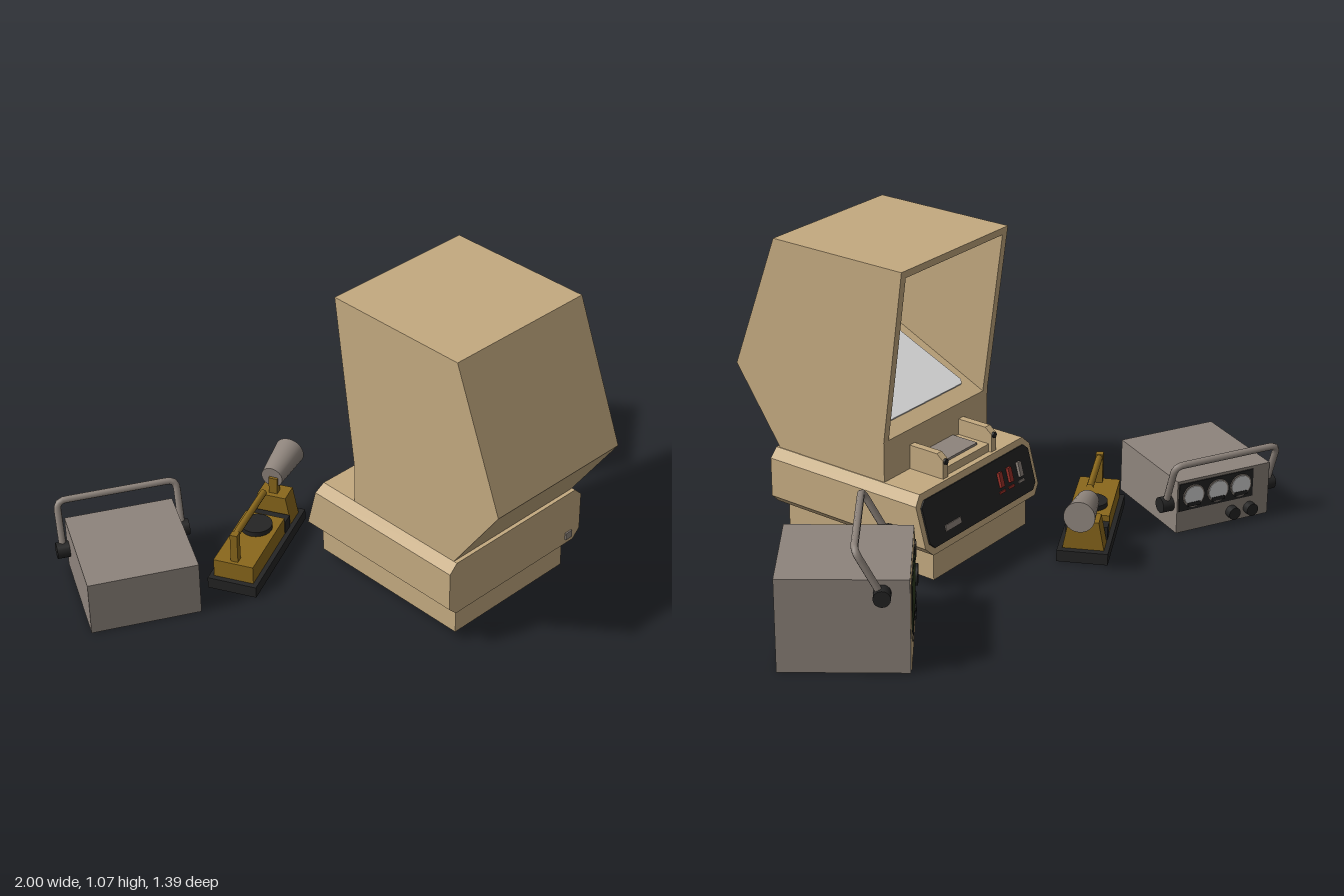
import * as THREE from 'three';

const mat = (name, color) => Object.assign(new THREE.MeshStandardMaterial({ color }), { name });

export function createModel() {
  const tan = mat('tan', 0xc4aa80), grey = mat('grey', 0x8e847c), black = mat('black', 0x242424);
  const mustard = mat('mustard', 0x8a681c), white = mat('white', 0xdadada), green = mat('green', 0x2c3a1e);
  const red = mat('red', 0x9a3028);
  const root = new THREE.Group();

  const add = (parent, name, geo, material, x = 0, y = 0, z = 0) => {
    const m = new THREE.Mesh(geo, material);
    m.name = name;
    m.position.set(x, y, z);
    parent.add(m);
    return m;
  };
  const box = (p, name, m, w, h, d, x, y, z) => add(p, name, new THREE.BoxGeometry(w, h, d), m, x, y, z);
  const disc = (p, name, m, r, d, x, y, z, axis = 'z') => {
    const g = new THREE.CylinderGeometry(r, r, d, 20);
    if (axis === 'z') g.rotateX(Math.PI / 2);
    if (axis === 'x') g.rotateZ(Math.PI / 2);
    return add(p, name, g, m, x, y, z);
  };
  const group = (name, x, z, turn) => {
    const g = new THREE.Group();
    g.name = name;
    g.position.set(x, 0, z);
    g.rotation.y = turn;
    root.add(g);
    return g;
  };
  const shapeOf = pts => new THREE.Shape(pts.map(p => new THREE.Vector2(...p)));
  const extrude = (pts, depth) => new THREE.ExtrudeGeometry(shapeOf(pts), { depth, bevelEnabled: false });
  // side profile given as [z, y], running from x0 to x1
  const sideExtrude = (pts, x0, x1) => extrude(pts, x1 - x0).rotateY(-Math.PI / 2).translate(x1, 0, 0);
  // round bar through points with softened corners
  const bar = (pts, r) => {
    const v = pts.map(p => new THREE.Vector3(...p)), path = new THREE.CurvePath();
    let from = v[0];
    for (let i = 1; i < v.length - 1; i++) {
      const a = v[i].clone().add(v[i - 1].clone().sub(v[i]).setLength(0.03));
      const b = v[i].clone().add(v[i + 1].clone().sub(v[i]).setLength(0.03));
      path.add(new THREE.LineCurve3(from, a));
      path.add(new THREE.QuadraticBezierCurve3(a, v[i], b));
      from = b;
    }
    path.add(new THREE.LineCurve3(from, v[v.length - 1]));
    return new THREE.TubeGeometry(path, 48, r, 8);
  };

  // ---- Film reader, opening towards the back ----
  const reader = group('filmReader', 0, 0, 0);
  const outer = [[0, 1.065], [0.52, 1.065], [0.7, 0.595], [0.52, 0.335], [0.08, 0.335], [0.08, 0.475]];
  const hollow = [[0.63, 0.73], [0.507, 1.04], [0.003, 1.04]];
  add(reader, 'hoodShell', sideExtrude([...outer, ...hollow], -0.2, 0.297), tan);
  add(reader, 'hoodSideRight', sideExtrude(outer, -0.225, -0.2), tan);
  add(reader, 'hoodSideLeft', sideExtrude(outer, 0.297, 0.322), tan);

  // projection screen lying on the sloping floor
  const slope = Math.atan2(0.255, 0.55);
  const screen = add(reader, 'projectionScreen', extrude([
    [-0.215, 0.075], [-0.2, 0.06], [0.2, 0.06], [0.215, 0.075],
    [0.205, 0.45], [0.185, 0.47], [-0.185, 0.47], [-0.205, 0.45]], 0.008).translate(0, 0, -0.006),
    white, 0.0485, 0.475, 0.08);
  screen.rotation.x = Math.PI / 2 - slope;

  // chamfered housing with a leaning back face
  const L = -0.255, R = 0.355, B = 0.14, T = 0.337, c = 0.03;
  const housing = extrude([[L + c, B], [R - c, B], [R, B + c], [R, T - c], [R - c, T],
    [L + c, T], [L, T - c], [L, B + c]], 0.655).translate(0, 0, -0.12);
  const hp = housing.attributes.position;
  for (let i = 0; i < hp.count; i++) if (hp.getZ(i) < 0) hp.setZ(i, -0.12 + (hp.getY(i) - B) / (T - B) * 0.055);
  housing.computeVertexNormals();
  add(reader, 'housing', housing, tan);
  box(reader, 'foot', tan, 0.5, 0.105, 0.61, 0.05, 0.0875, 0.205);
  box(reader, 'frontBadge', grey, 0.03, 0.026, 0.008, 0.3, 0.17, 0.536);

  // control panel on the leaning back face
  const panel = group('controlPanel', 0.05, -0.0925, Math.PI);
  panel.position.y = 0.2385;
  panel.rotation.set(Math.atan2(0.055, T - B), Math.PI, 0);
  const pw = 0.285, ph = 0.08, k = 0.02;
  add(panel, 'panelPlate', extrude([[-pw + k, -ph], [pw - k, -ph], [pw, -ph + k], [pw, ph - k],
    [pw - k, ph], [-pw + k, ph], [-pw, ph - k], [-pw, -ph + k]], 0.008), black, 0, 0, -0.002);
  for (const [x, m] of [[0.11, red], [0.16, red], [0.215, grey]]) {
    box(panel, 'switch', m, 0.018, 0.05, 0.012, x, 0.012, 0.01);
    box(panel, 'switchMark', m, 0.03, 0.008, 0.004, x, -0.03, 0.008);
  }
  box(panel, 'panelLabel', grey, 0.08, 0.02, 0.004, -0.16, -0.04, 0.008);

  // film carrier with two arms
  for (const x of [-0.08, 0.178]) {
    add(reader, 'carrierArm', sideExtrude([[0.085, 0.33], [0.085, 0.42], [-0.03, 0.42], [-0.055, 0.4],
      [-0.055, 0.33]], x - 0.013, x + 0.013), tan);
    disc(reader, 'carrierPin', black, 0.01, 0.008, x, 0.395, -0.056);
  }
  box(reader, 'carrierTray', tan, 0.23, 0.03, 0.13, 0.049, 0.35, 0.02);
  box(reader, 'carrierGlass', grey, 0.17, 0.008, 0.1, 0.049, 0.37, 0.03);

  // carrying handle with pivots, shared by both instruments
  const handle = (p, py, pz, ty, tz) => {
    const w = 0.2;
    add(p, 'handle', bar([[-w, py, pz], [-w, ty, tz], [w, ty, tz], [w, py, pz]], 0.012), grey);
    for (const s of [-1, 1]) disc(p, 'handlePivot', black, 0.027, 0.045, s * 0.2, py, pz, 'x');
  };

  // ---- Oscilloscope ----
  const scope = group('oscilloscope', 0.73, -0.099, -2.505);
  box(scope, 'scopeCase', grey, 0.36, 0.315, 0.404, 0, 0.1575, 0);
  box(scope, 'scopeFace', tan, 0.345, 0.3, 0.006, 0, 0.1575, 0.202);
  box(scope, 'scopeScreenFrame', black, 0.212, 0.172, 0.006, -0.052, 0.21, 0.204);
  box(scope, 'scopeScreen', green, 0.2, 0.16, 0.006, -0.052, 0.21, 0.206);
  box(scope, 'scopeButtonFrame', black, 0.056, 0.052, 0.006, 0.11, 0.262, 0.205);
  box(scope, 'scopeButton', grey, 0.046, 0.042, 0.008, 0.11, 0.262, 0.206);
  disc(scope, 'scopeDial', black, 0.035, 0.014, 0.11, 0.18, 0.208);
  for (let i = 0; i < 6; i++) {
    box(scope, 'scopeKey', black, 0.018, 0.012, 0.006, 0.088 + (i % 2) * 0.04, 0.1 - Math.floor(i / 2) * 0.028, 0.206);
    box(scope, 'scopeMark', black, 0.014, 0.01, 0.006, -0.13 + i * 0.032, 0.09, 0.205);
  }
  handle(scope, 0.272, 0.12, 0.423, 0.04);

  // ---- Power supply ----
  const supply = group('powerSupply', -0.754, -0.417, 2.672);
  box(supply, 'supplyCase', grey, 0.361, 0.19, 0.378, 0, 0.095, 0);
  box(supply, 'meterPanel', black, 0.29, 0.1, 0.006, -0.03, 0.13, 0.19);
  for (const x of [-0.12, -0.025, 0.065]) {
    disc(supply, 'meterRim', grey, 0.041, 0.008, x, 0.13, 0.192);
    disc(supply, 'meterFace', white, 0.036, 0.008, x, 0.13, 0.194);
    box(supply, 'meterBase', black, 0.05, 0.014, 0.004, x, 0.102, 0.198);
  }
  for (const x of [0.035, 0.105]) disc(supply, 'supplyKnob', black, 0.022, 0.03, x, 0.037, 0.2);
  handle(supply, 0.095, 0.146, 0.255, 0.2);

  // ---- Bench instrument with horn ----
  const bench = group('benchInstrument', -0.34, -0.273, 0.463);
  box(bench, 'benchBase', black, 0.455, 0.04, 0.17, 0, 0.02, 0);
  box(bench, 'benchDeck', mustard, 0.285, 0.065, 0.138, -0.067, 0.0725, 0);
  disc(bench, 'benchDial', black, 0.053, 0.02, 0.0, 0.112, 0, 'y');
  box(bench, 'benchColumn', mustard, 0.025, 0.11, 0.025, -0.185, 0.155, 0);
  add(bench, 'benchArm', bar([[-0.185, 0.1, 0], [-0.185, 0.2, 0], [0.07, 0.2, 0]], 0.012), mustard);
  box(bench, 'benchSlot', black, 0.045, 0.05, 0.14, 0.1, 0.06, 0);
  add(bench, 'hornStand', extrude([[-0.07, 0.035], [0.07, 0.035], [0.05, 0.14], [-0.05, 0.14]], 0.07)
    .rotateY(Math.PI / 2), mustard, 0.135, 0, 0);
  box(bench, 'hornPost', mustard, 0.025, 0.07, 0.03, 0.165, 0.165, 0);
  const horn = add(bench, 'horn', new THREE.CylinderGeometry(0.052, 0.038, 0.15, 24), grey, 0.237, 0.203, -0.003);
  horn.rotation.set(0, -0.05, -Math.PI / 2 + 0.08);
  return root;
}
